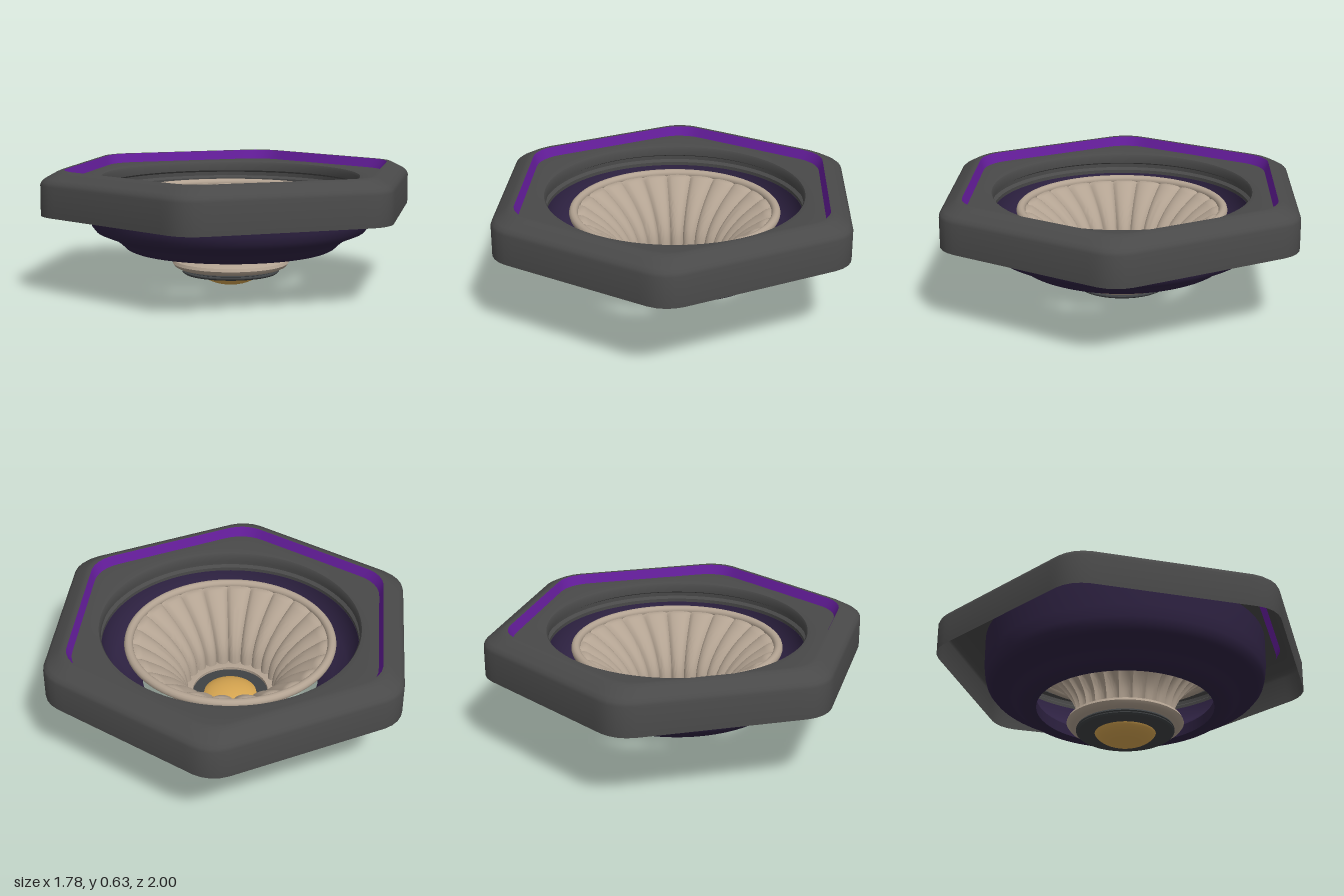
import * as THREE from 'three';
import { toCreasedNormals } from 'three/addons/utils/BufferGeometryUtils.js';

const SEG = 144;
const mat = (name, color, side = THREE.FrontSide) => {
  const m = new THREE.MeshStandardMaterial({ color, side });
  m.name = name;
  return m;
};

// Skin a surface over rings; each ring maps an angle to [radius, height].
// Rings run up the outside, inward over the top, down the inside.
function loft(rings, seg = SEG, crease = 0.6) {
  const pos = [], index = [];
  rings.forEach((ring, i) => {
    for (let j = 0; j < seg; j++) {
      const t = (j / seg) * Math.PI * 2;
      const [r, y] = ring(t);
      pos.push(r * Math.sin(t), y, r * Math.cos(t));
      if (i === rings.length - 1) continue;
      const a = i * seg + j, b = i * seg + (j + 1) % seg;
      index.push(a, b, b + seg, a, b + seg, a + seg);
    }
  });
  const g = new THREE.BufferGeometry();
  g.setAttribute('position', new THREE.Float32BufferAttribute(pos, 3));
  g.setIndex(index);
  return toCreasedNormals(g, crease);
}

const circle = (r, y) => () => [r, y];

// Rounded hexagon ring with corners on the z axis: apothem a, corner radius c
function hex(a, y, c = 0.18) {
  const d = (a - c) / Math.cos(Math.PI / 6);
  const tangent = Math.atan2(c * 0.5, d + c * Math.cos(Math.PI / 6));
  return (t) => {
    const step = Math.PI / 3;
    const p = Math.abs(t - Math.round(t / step) * step);
    const r = p > tangent
      ? a / Math.cos(Math.PI / 6 - p)
      : d * Math.cos(p) + Math.sqrt(c * c - (d * Math.sin(p)) ** 2);
    return [r, y];
  };
}

const round = (points) => loft(points.map(([r, y]) => circle(r, y)));

export function createModel() {
  const model = new THREE.Group();
  model.name = 'hexagonalHorn';
  const grey = mat('charcoal', 0x494949, THREE.DoubleSide);
  const violet = mat('brightViolet', 0x621c98, THREE.DoubleSide);
  const plum = mat('darkPlum', 0x2e2242);
  const beige = mat('warmBeige', 0xb3a392, THREE.DoubleSide);
  const slate = mat('slate', 0x3f4244);
  const gold = mat('gold', 0xd6a550);
  const add = (name, geometry, material) => {
    const m = new THREE.Mesh(geometry, material);
    m.name = name;
    model.add(m);
    return m;
  };

  // Hexagonal shell, open underneath, with a softened top edge
  add('hexRim', loft([
    hex(0.89, 0.405), hex(0.89, 0.56), hex(0.884, 0.577), hex(0.868, 0.592),
    hex(0.82, 0.62), hex(0.80, 0.63), hex(0.782, 0.63),
  ]), grey);
  add('violetInlay', loft([hex(0.782, 0.63), hex(0.762, 0.582, 0.2)]), violet);
  add('innerPlate', loft([
    hex(0.762, 0.582, 0.2), circle(0.70, 0.584), circle(0.675, 0.578),
    circle(0.667, 0.565), circle(0.667, 0.53), circle(0.685, 0.52),
    circle(0.685, 0.50), circle(0.668, 0.488), circle(0.668, 0.46),
  ]), grey);

  // Open-bottomed bowl with an outer cove
  add('bowl', round([
    [0.465, 0.20], [0.535, 0.20], [0.55, 0.207], [0.585, 0.24], [0.62, 0.265],
    [0.67, 0.285], [0.705, 0.30], [0.725, 0.325], [0.735, 0.36], [0.742, 0.42],
    [0.742, 0.57], [0.70, 0.57], [0.69, 0.47], [0.667, 0.47], [0.655, 0.41],
    [0.61, 0.35], [0.54, 0.31], [0.48, 0.28], [0.465, 0.26], [0.465, 0.20],
  ]), plum);

  // Fluted funnel: pillow-shaped petals raised along the profile normal
  const profile = new THREE.SplineCurve([
    [0.515, 0.47], [0.46, 0.435], [0.38, 0.375], [0.31, 0.30], [0.265, 0.22], [0.25, 0.13],
  ].map(([x, y]) => new THREE.Vector2(x, y)));
  const rings = [];
  const steps = 24, petals = 24;
  for (let i = 0; i <= steps; i++) {
    const u = i / steps, p = profile.getPoint(u), n = profile.getTangent(u);
    const depth = 0.026 * Math.min(1, u * 8 + 0.1);
    rings.push((t) => {
      const h = depth * Math.sqrt(Math.abs(Math.cos(t * petals / 2)));
      return [p.x + n.y * h, p.y - n.x * h];
    });
  }
  add('flutedFunnel', loft(rings, petals * 10, 0.9), beige);
  const lip = add('funnelLip', new THREE.TorusGeometry(0.527, 0.023, 12, 96), beige);
  lip.rotation.x = Math.PI / 2;
  lip.position.y = 0.475;

  // Throat collar, base ring and domed centre
  add('throatCollar', round([
    [0.20, 0.092], [0.275, 0.092], [0.295, 0.102], [0.305, 0.117], [0.298, 0.132],
    [0.275, 0.142], [0.25, 0.15], [0.20, 0.145], [0.20, 0.092],
  ]), beige);
  add('baseRing', round([
    [0.13, 0.062], [0.245, 0.062], [0.255, 0.07], [0.255, 0.075], [0.243, 0.079],
    [0.255, 0.083], [0.25, 0.093], [0.20, 0.13], [0.13, 0.13], [0.13, 0.062],
  ]), slate);
  const dome = add('centreDome', new THREE.SphereGeometry(1, 48, 24), gold);
  dome.scale.set(0.165, 0.085, 0.165);
  dome.position.y = 0.085;

  return model;
}
